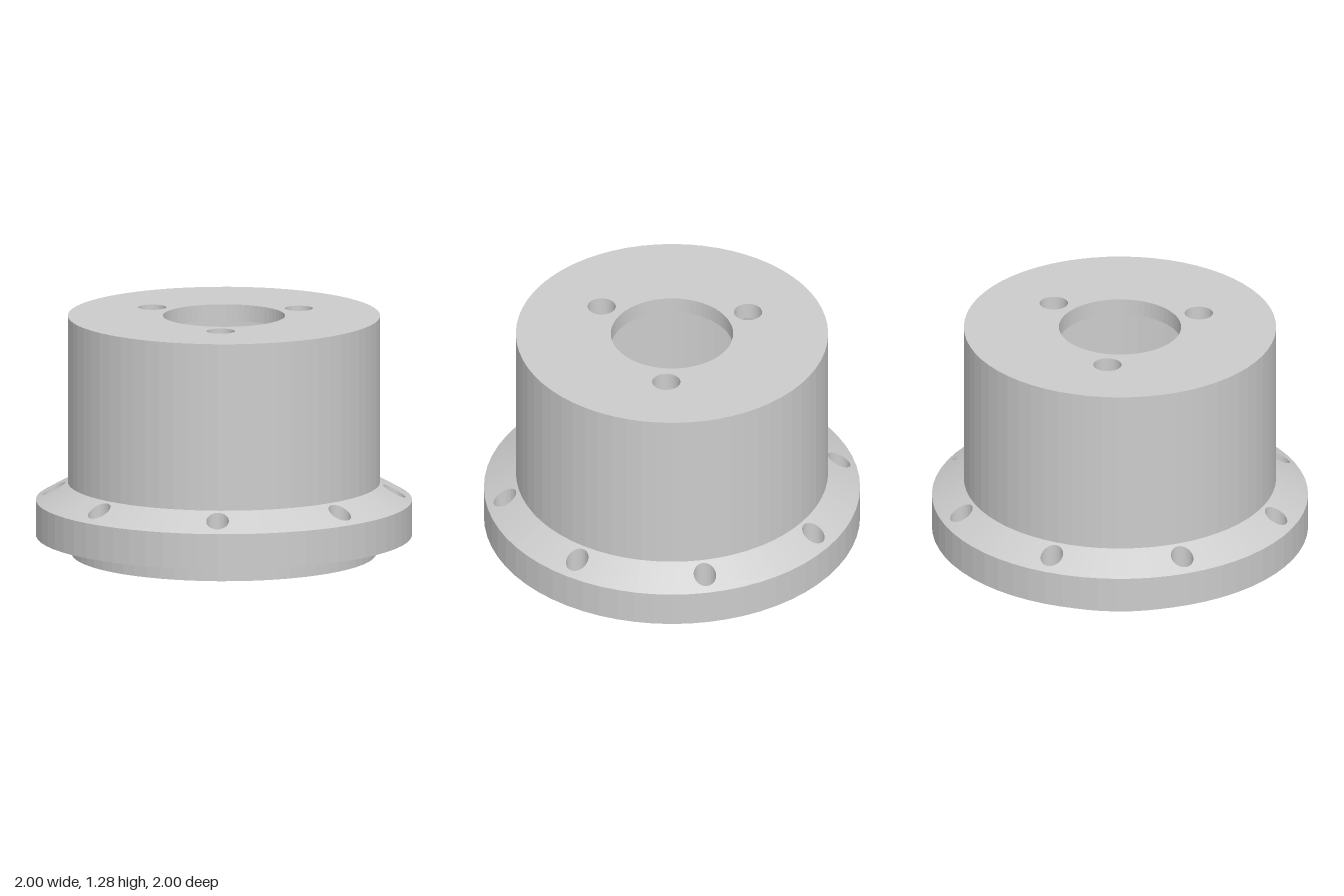
import * as THREE from 'three';

const SEG = 64, BOLTS = 8, BOLT_R = 0.06, BOLT_CIRCLE = 0.905;
const BODY_R = 0.83, BORE_R = 0.765, LIP_R = 0.81;
const BASE_Y = 0.1, RIM_Y = 0.29, SHOULDER_Y = 0.385, CEIL_Y = 1.195, TOP_Y = 1.285;
const coneY = (r) => SHOULDER_Y + ((r - BODY_R) / (1 - BODY_R)) * (RIM_Y - SHOULDER_Y);

const flat = new THREE.MeshStandardMaterial({ color: 0xcccccc, flatShading: true });
const smooth = new THREE.MeshStandardMaterial({ color: 0xcccccc });

function add(group, name, geometry, material = flat) {
  const mesh = new THREE.Mesh(geometry, material);
  mesh.name = name;
  group.add(mesh);
  return mesh;
}

// Turned surface; a profile running upward faces out, downward faces in.
const turned = (points, seg = SEG) =>
  new THREE.LatheGeometry(points.map(([r, y]) => new THREE.Vector2(r, y)), seg);

// One 45 degree sector of a ring with a bolt hole: loops blend from the hole to the sector edge.
function sector(rIn, rOut, height, faceUp) {
  const N = 32, RINGS = 5, half = Math.PI / BOLTS;
  const pos = [], idx = [];
  for (let k = 0; k <= RINGS; k++) {
    for (let i = 0; i <= N; i++) {
      const a = Math.PI / 4 + (i / N) * Math.PI * 2;
      const u = BOLT_R * Math.cos(a), v = BOLT_CIRCLE + BOLT_R * Math.sin(a);
      const side = Math.floor(i / 8) % 4, t = (i % 8) / 8;
      const edgeA = [half * (1 - 2 * t), -half, half * (2 * t - 1), half][side];
      const edgeR = [rOut, rOut + (rIn - rOut) * t, rIn, rIn + (rOut - rIn) * t][side];
      const phi = THREE.MathUtils.lerp(Math.atan2(u, v), edgeA, k / RINGS);
      const r = THREE.MathUtils.lerp(Math.hypot(u, v), edgeR, k / RINGS);
      pos.push(r * Math.sin(phi), height(r), r * Math.cos(phi));
      if (k < RINGS && i < N) {
        const A = k * (N + 1) + i, B = A + 1, C = A + N + 1, D = C + 1;
        if (faceUp) idx.push(A, B, C, B, D, C);
        else idx.push(A, C, B, B, C, D);
      }
    }
  }
  const g = new THREE.BufferGeometry();
  g.setAttribute('position', new THREE.Float32BufferAttribute(pos, 3));
  g.setIndex(idx);
  g.computeVertexNormals();
  return g;
}

// Wall of a bolt hole, its upper edge following the cone.
function boltHoleWall() {
  const g = turned([[BOLT_R, 1], [BOLT_R, BASE_Y]], 32);
  const p = g.attributes.position;
  for (let i = 0; i < p.count; i++) {
    const z = p.getZ(i) + BOLT_CIRCLE;
    if (p.getY(i) > 0.5) p.setY(i, coneY(Math.hypot(p.getX(i), z)));
    p.setZ(i, z);
  }
  g.computeVertexNormals();
  return g;
}

// Holes through the end plate: centre bore and three screw holes.
const plateHoles = [{ x: 0, z: 0, r: 0.325 }];
for (let i = 0; i < 3; i++) {
  const a = (i * Math.PI * 2) / 3;
  plateHoles.push({ x: 0.45 * Math.sin(a), z: 0.45 * Math.cos(a), r: 0.075 });
}

function plateFace(radius, y, up) {
  const shape = new THREE.Shape().absarc(0, 0, radius, 0, Math.PI * 2);
  for (const h of plateHoles) {
    shape.holes.push(new THREE.Path().absarc(h.x, -up * h.z, h.r, 0, Math.PI * 2, true));
  }
  return new THREE.ShapeGeometry(shape, SEG / 2).rotateX((-up * Math.PI) / 2).translate(0, y, 0);
}

export function createModel() {
  const model = new THREE.Group();
  model.name = 'flangedHub';

  // Cup body, bore and locating lip
  add(model, 'bodyWall', turned([[BODY_R, SHOULDER_Y], [BODY_R, TOP_Y]]));
  add(model, 'boreAndLip', turned([[BORE_R, CEIL_Y], [BORE_R, 0], [LIP_R, 0], [LIP_R, BASE_Y]]));

  // End plate
  const plate = new THREE.Group();
  plate.name = 'endPlate';
  model.add(plate);
  add(plate, 'plateTop', plateFace(BODY_R, TOP_Y, 1));
  add(plate, 'plateUnderside', plateFace(BORE_R, CEIL_Y, -1));
  plateHoles.forEach((h, i) => {
    const wall = turned([[h.r, TOP_Y], [h.r, CEIL_Y]]).translate(h.x, 0, h.z);
    add(plate, i ? 'screwHole' : 'centreHole', wall);
  });

  // Flange with bevelled top and a circle of bolt holes
  const flange = new THREE.Group();
  flange.name = 'flange';
  model.add(flange);
  add(flange, 'flangeRim', turned([[1, BASE_Y], [1, RIM_Y]]));
  const bevel = sector(BODY_R, 1, coneY, true);
  const under = sector(LIP_R, 1, () => BASE_Y, false);
  const hole = boltHoleWall();
  for (let i = 0; i < BOLTS; i++) {
    const turn = (i * Math.PI * 2) / BOLTS;
    add(flange, 'flangeBevel', bevel, smooth).rotation.y = turn;
    add(flange, 'flangeUnderside', under, smooth).rotation.y = turn;
    add(flange, 'boltHole', hole).rotation.y = turn;
  }
  return model;
}
